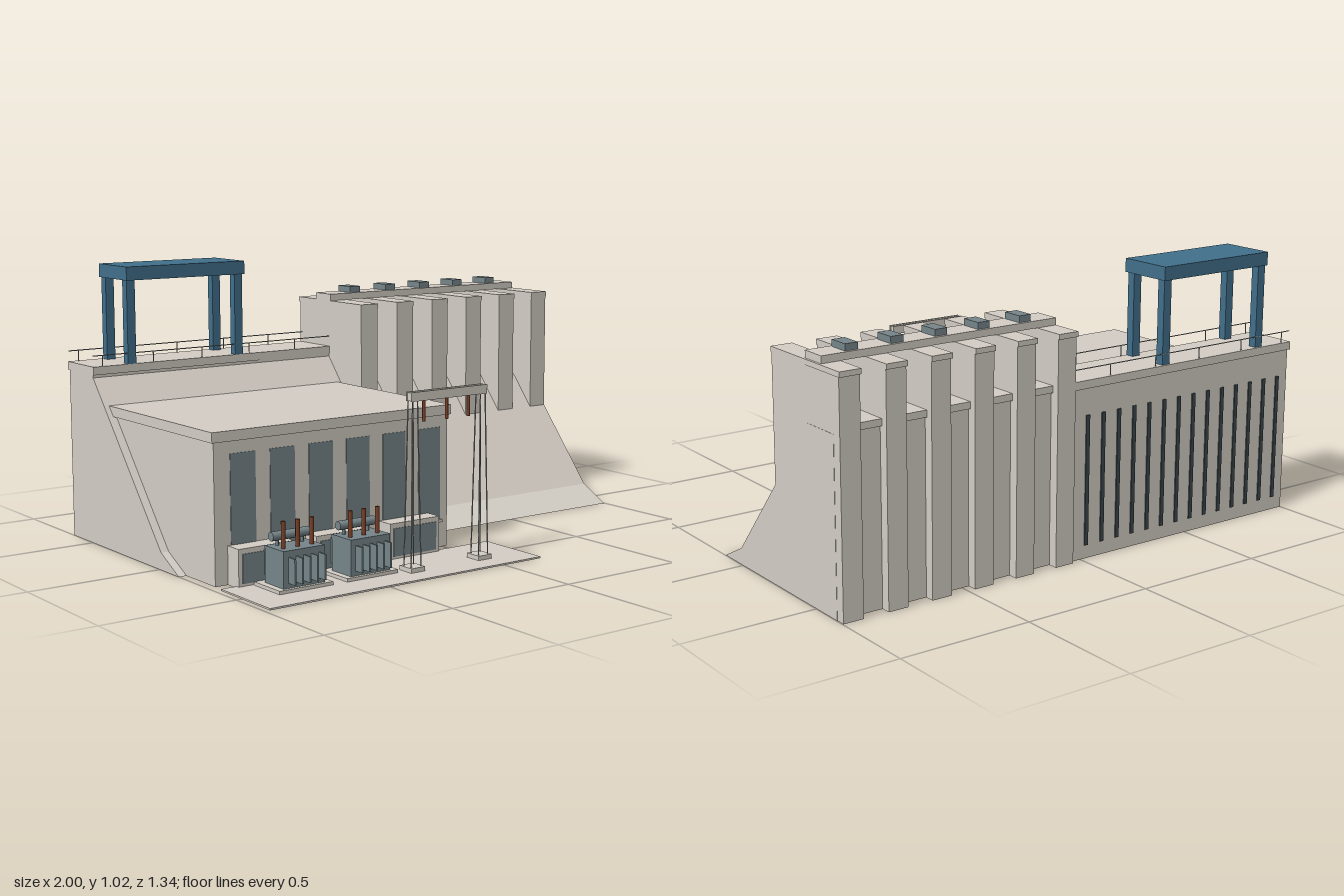
import * as THREE from 'three';

const mat = (name, color, side = THREE.FrontSide) => {
  const m = new THREE.MeshStandardMaterial({ color, side });
  m.name = name;
  return m;
};

export function createModel() {
  const root = new THREE.Group();
  const concrete = mat('concrete', 0xd4cec5, THREE.DoubleSide);
  const blue = mat('crane blue', 0x41708b);
  const steel = mat('grey steel', 0x76868b);
  const dark = mat('dark steel', 0x3c484c);
  const brown = mat('brown porcelain', 0x7a4028);
  const galvanised = mat('galvanised metal', 0xa9aaa8);

  const add = (parent, name, geo, material) => {
    const m = new THREE.Mesh(geo, material);
    m.name = name;
    parent.add(m);
    return m;
  };
  const group = (name) => {
    const g = new THREE.Group();
    g.name = name;
    root.add(g);
    return g;
  };
  // Box given by its min and max on each axis
  const box = (parent, name, material, x0, x1, y0, y1, z0, z1) => {
    const m = add(parent, name, new THREE.BoxGeometry(x1 - x0, y1 - y0, z1 - z0), material);
    m.position.set((x0 + x1) / 2, (y0 + y1) / 2, (z0 + z1) / 2);
    return m;
  };
  // Round bar between two points
  const bar = (parent, name, material, a, b, r = 0.003, sides = 6) => {
    const A = new THREE.Vector3(...a), B = new THREE.Vector3(...b);
    const d = B.clone().sub(A);
    const m = add(parent, name, new THREE.CylinderGeometry(r, r, d.length(), sides), material);
    m.position.copy(A).add(B).multiplyScalar(0.5);
    m.quaternion.setFromUnitVectors(new THREE.Vector3(0, 1, 0), d.normalize());
    return m;
  };
  const shapeZY = (pts) => new THREE.Shape(pts.map(([z, y]) => new THREE.Vector2(z, y)));
  // Sheet swept along x from an open (z, y) path running front to back
  const sheet = (parent, name, material, path, x0, x1) => {
    const pos = [];
    for (let i = 0; i < path.length - 1; i++) {
      const [az, ay] = path[i], [bz, by] = path[i + 1];
      pos.push(x0, ay, az, x1, ay, az, x1, by, bz, x0, ay, az, x1, by, bz, x0, by, bz);
    }
    const g = new THREE.BufferGeometry();
    g.setAttribute('position', new THREE.Float32BufferAttribute(pos, 3));
    g.computeVertexNormals();
    return add(parent, name, g, material);
  };
  const endWall = (parent, name, pts, x) => {
    const g = new THREE.ShapeGeometry(shapeZY(pts)).rotateY(-Math.PI / 2);
    add(parent, name, g, concrete).position.x = x;
  };

  // Dam body: sloped downstream face, flat crest, upright back
  const slope = [[0.13, 0], [0.01, 0.062], [-0.465, 0.62], [-0.465, 0.63]];
  const dam = group('dam');
  sheet(dam, 'slopingFace', concrete, slope, -1, 0.998);
  for (const [x0, x1, back, endX, name] of [[-1, 0.045, -0.65, -1, 'intakeBack'], [0.045, 0.998, -0.628, 0.998, 'spillwayBack']]) {
    const top = [[-0.465, 0.63], [back, 0.63], [back, 0]];
    sheet(dam, name, concrete, top, x0, x1);
    endWall(dam, 'damEnd', [...slope, ...top.slice(1)], endX);
  }
  box(dam, 'crestSlab', concrete, -1, 0.045, 0.63, 0.66, -0.664, -0.46);
  box(dam, 'spillwayCrestSlab', concrete, 0.045, 0.997, 0.63, 0.655, -0.638, -0.46);

  // Narrow intake slots on the back
  for (let i = 0; i < 14; i++) {
    const x = -0.95 + i * 0.0712;
    box(dam, 'intakeSlot', dark, x - 0.008, x + 0.008, 0.05, 0.53, -0.654, -0.6502);
  }

  // Crest railings
  const railing = group('railing');
  for (const [z, end] of [[-0.655, 0.045], [-0.465, 0.98]]) {
    bar(railing, 'rail', galvanised, [-1, 0.7, z], [end, 0.7, z], 0.002, 5);
    for (let x = -0.96; x < 0.04; x += 0.21) bar(railing, 'railPost', galvanised, [x, 0.66, z], [x, 0.7, z], 0.002, 5);
  }

  // Spillway piers, service bridge and gate hoists
  const spillway = group('spillway');
  const pierShape = shapeZY([[-0.665, 0], [0.122, 0], [0.005, 0.056], [-0.245, 0.345], [-0.245, 0.825], [-0.665, 0.825]]);
  const pitch = 0.175;
  for (let i = 0; i < 6; i++) {
    const x = 0.083 + i * pitch;
    const g = new THREE.ExtrudeGeometry(pierShape, { depth: 0.078, bevelEnabled: false }).rotateY(-Math.PI / 2);
    add(spillway, 'pier', g, concrete).position.x = x + 0.039;
    box(spillway, 'pierCap', concrete, x - 0.041, x + 0.041, 0.823, 0.842, -0.672, -0.243);
    if (i < 5) box(spillway, 'gateHoist', steel, x + 0.063, x + 0.112, 0.868, 0.892, -0.54, -0.46);
  }
  box(spillway, 'serviceBridge', concrete, 0.042, 0.99, 0.842, 0.868, -0.55, -0.45);

  // Gantry crane on the crest
  const crane = group('crane');
  box(crane, 'craneTop', blue, -0.863, -0.357, 0.968, 1.018, -0.662, -0.45);
  for (const x of [-0.84, -0.378]) for (const z of [-0.64, -0.478])
    box(crane, 'craneLeg', blue, x - 0.017, x + 0.017, 0.66, 0.968, z - 0.016, z + 0.016);

  // Powerhouse
  const house = group('powerhouse');
  const wall = [[0.32, 0], [0.32, 0.49], [-0.35, 0.49]];
  sheet(house, 'powerhouseWalls', concrete, wall, -0.97, 0.02);
  for (const x of [-0.97, 0.02]) endWall(house, 'powerhouseEnd', [...wall, [0.01, 0.062], [0.13, 0]], x);
  box(house, 'roofSlab', concrete, -0.98, 0.03, 0.49, 0.526, -0.39, 0.328);
  for (let i = 0; i < 6; i++) {
    const x = -0.857 + i * 0.1585;
    box(house, 'window', steel, x - 0.05, x + 0.05, 0.105, 0.447, 0.3203, 0.3225);
    box(house, 'windowSill', concrete, x - 0.054, x + 0.054, 0.095, 0.105, 0.3203, 0.332);
  }
  // Outlet blocks with gate panels
  for (const x of [-0.81, -0.495, -0.18]) {
    box(house, 'outletBlock', concrete, x - 0.11, x + 0.11, 0, 0.135, 0.3203, 0.388);
    box(house, 'outletGate', steel, x - 0.095, x + 0.095, 0.015, 0.117, 0.3882, 0.391);
  }

  // Yard slab
  box(root, 'yardSlab', concrete, -0.98, 0.168, 0, 0.006, 0.372, 0.67);

  // Transformers
  for (const cx of [-0.757, -0.485]) {
    const t = group('transformer');
    t.position.x = cx;
    box(t, 'transformerPad', concrete, -0.107, 0.107, 0, 0.018, 0.395, 0.55);
    box(t, 'tank', steel, -0.083, 0.083, 0.018, 0.145, 0.425, 0.537);
    for (const x of [-0.06, -0.03, 0, 0.03, 0.06])
      box(t, 'coolingFin', steel, x - 0.003, x + 0.003, 0.035, 0.123, 0.388, 0.574);
    bar(t, 'conservator', steel, [-0.075, 0.178, 0.45], [0.075, 0.178, 0.45], 0.016, 14);
    for (const x of [-0.05, 0.05]) bar(t, 'conservatorStand', steel, [x, 0.145, 0.45], [x, 0.17, 0.45], 0.006);
    for (const x of [-0.057, 0, 0.057]) bar(t, 'bushing', brown, [x, 0.145, 0.498], [x, 0.237, 0.498], 0.008, 8);
  }

  // Line portal with lattice posts and hanging insulators
  const portal = group('linePortal');
  const pz = 0.553;
  for (const x of [-0.318, -0.018]) {
    box(portal, 'portalFooting', concrete, x - 0.03, x + 0.03, 0, 0.022, pz - 0.033, pz + 0.033);
    for (const sx of [-1, 1]) for (const sz of [-1, 1])
      bar(portal, 'portalLeg', galvanised, [x + sx * 0.021, 0.022, pz + sz * 0.021], [x + sx * 0.01, 0.63, pz + sz * 0.012], 0.003, 4);
  }
  for (const s of [-1, 1])
    box(portal, 'portalBeam', concrete, -0.335, 0, 0.598, 0.63, pz + s * 0.012 - 0.003, pz + s * 0.012 + 0.003);
  for (const x of [-0.33, -0.168, -0.006]) box(portal, 'beamTie', concrete, x - 0.004, x + 0.004, 0.6, 0.628, pz - 0.012, pz + 0.012);
  for (const x of [-0.27, -0.17, -0.073])
    bar(portal, 'insulator', brown, [x, 0.523, pz], [x, 0.612, pz], 0.006, 8);

  return root;
}
